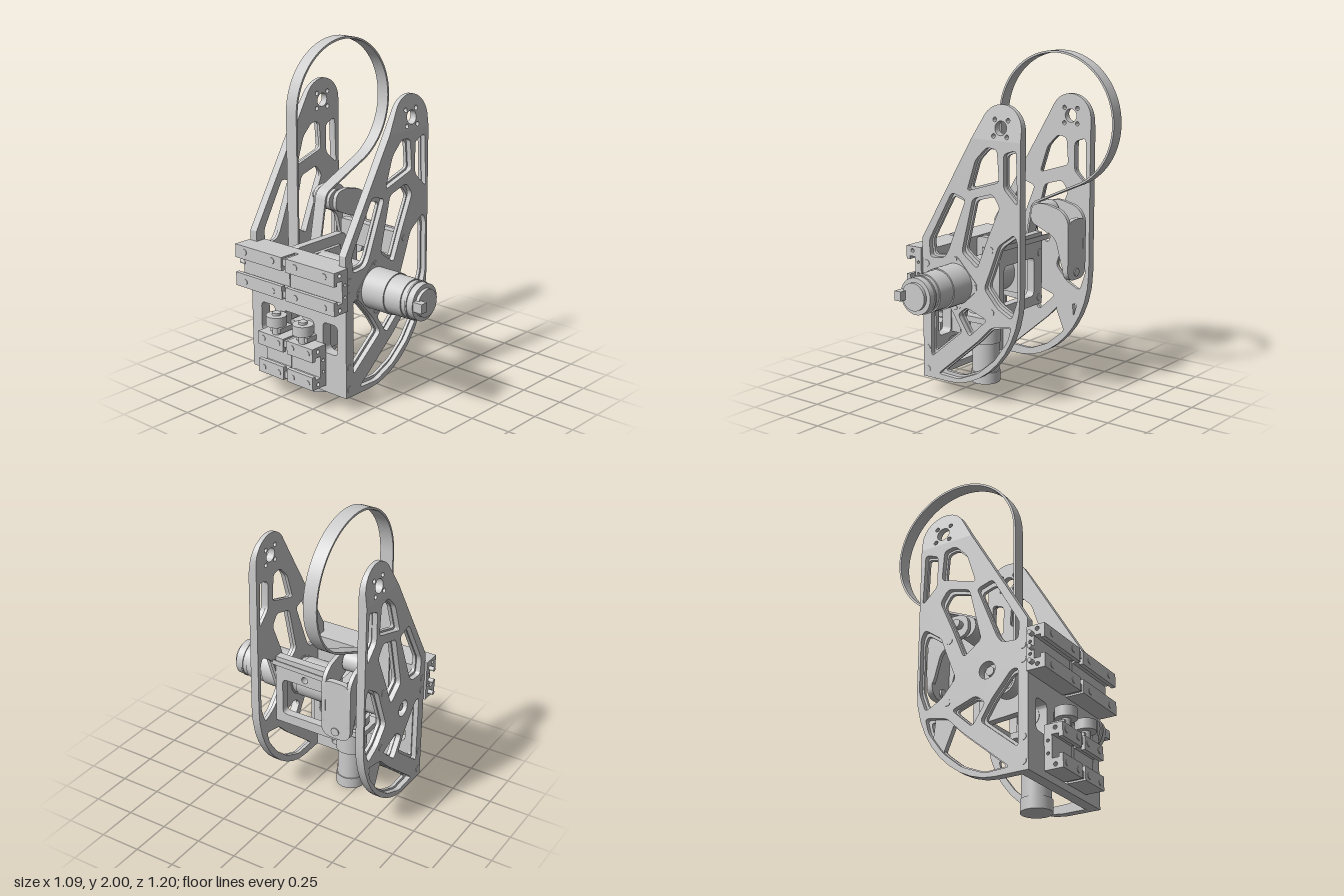
import * as THREE from 'three';
import { toCreasedNormals } from 'three/addons/utils/BufferGeometryUtils.js';

const grey = new THREE.MeshStandardMaterial({ color: 0xcccccc });

function add(parent, name, geo, x = 0, y = 0, z = 0) {
  const m = new THREE.Mesh(geo, grey);
  m.name = name;
  m.position.set(x, y, z);
  parent.add(m);
  return m;
}

// Box given by its min/max ranges
function box(parent, name, [x0, x1], [y0, y1], [z0, z1]) {
  return add(parent, name, new THREE.BoxGeometry(x1 - x0, y1 - y0, z1 - z0),
    (x0 + x1) / 2, (y0 + y1) / 2, (z0 + z1) / 2);
}

// Cylinder along an axis, from a to b; (u, v) are the other two coordinates in xyz order
function rod(parent, name, axis, r, u, v, a, b, seg = 32) {
  const g = new THREE.CylinderGeometry(r, r, b - a, seg), c = (a + b) / 2;
  if (axis === 'z') return add(parent, name, g.rotateX(Math.PI / 2), u, v, c);
  if (axis === 'x') return add(parent, name, g.rotateZ(Math.PI / 2), c, u, v);
  return add(parent, name, g, u, c, v);
}

// Closed path through polygon points with rounded corners, scaled about its centre
function rounded(pts, k = 1, r = 0.025, path = new THREE.Path()) {
  const c = pts.reduce((s, p) => [s[0] + p[0] / pts.length, s[1] + p[1] / pts.length], [0, 0]);
  const P = pts.map(p => new THREE.Vector2(c[0] + (p[0] - c[0]) * k, c[1] + (p[1] - c[1]) * k));
  P.forEach((p, i) => {
    const toward = q => p.clone().add(q.clone().sub(p).setLength(Math.min(r, q.distanceTo(p) * 0.45)));
    const a = toward(P[(i + P.length - 1) % P.length]), b = toward(P[(i + 1) % P.length]);
    i ? path.lineTo(a.x, a.y) : path.moveTo(a.x, a.y);
    path.quadraticCurveTo(p.x, p.y, b.x, b.y);
  });
  path.closePath();
  return path;
}

const circle = (x, y, r) => new THREE.Path().absarc(x, y, r, 0, Math.PI * 2, true);

function extrude(shape, depth) {
  return toCreasedNormals(new THREE.ExtrudeGeometry(shape,
    { depth, bevelEnabled: false, curveSegments: 10 }), 0.5);
}

// Openings of the truss side plates
const openings = [
  [[-0.37, 0.92], [-0.2, 1.22], [-0.1, 1.19], [-0.23, 0.87], [-0.26, 0.83], [-0.36, 0.82]],
  [[-0.03, 1.42], [0.05, 1.5], [0.12, 1.49], [0.135, 1.31], [-0.09, 1.24]],
  [[0.165, 1.47], [0.25, 1.5], [0.26, 1.19], [0.165, 1.28]],
  [[-0.05, 1.2], [0.09, 1.24], [0.14, 1.17], [0.05, 0.97], [-0.02, 0.8], [-0.13, 0.88]],
  [[0.13, 0.95], [0.24, 1.03], [0.264, 0.98], [0.264, 0.66], [0.22, 0.54], [0.12, 0.59], [0.03, 0.69], [0.1, 0.87]],
  [[-0.36, 0.66], [-0.32, 0.66], [-0.2, 0.52], [-0.13, 0.41], [-0.36, 0.22]],
  [[-0.16, 0.51], [-0.1, 0.56], [0.05, 0.51], [-0.08, 0.39]],
  [[-0.31, 0.125], [-0.02, 0.37], [0.08, 0.47], [0.22, 0.5], [0.195, 0.41], [0.1, 0.28], [-0.02, 0.18], [-0.16, 0.12]],
];

// Truss outline below the top lug
function plateShape(k, bore) {
  const s = new THREE.Shape();
  s.moveTo(-0.42, 0.09);
  s.lineTo(-0.22, 0.09);
  s.bezierCurveTo(0.02, 0.09, 0.28, 0.35, 0.28, 0.68);
  s.lineTo(0.28, 1.54);
  s.lineTo(-0.057, 1.54);
  s.lineTo(-0.42, 0.93);
  s.closePath();
  for (const o of openings) s.holes.push(rounded(o, k));
  s.holes.push(circle(-0.17, 0.69, bore));
  return s;
}

// Rounded lug with the pivot bore and four screw holes
function lugShape() {
  const s = new THREE.Shape();
  s.moveTo(-0.057, 1.54);
  s.lineTo(0.28, 1.54);
  s.lineTo(0.28, 1.6);
  s.absarc(0.14, 1.6, 0.14, 0, 2.6, false);
  s.closePath();
  s.holes.push(circle(0.14, 1.61, 0.04));
  for (const i of [1, -1]) for (const j of [1, -1])
    s.holes.push(circle(0.14 + i * 0.045, 1.61 + j * 0.045, 0.013));
  return s;
}

// Side plate: inner web, outer ribs and a lug whose outer face slopes inward
function sidePlate(parent, name, zInner, dir, bore) {
  const g = new THREE.Group();
  g.name = name;
  parent.add(g);
  add(g, 'plateWeb', extrude(plateShape(0.9, bore), 0.02), 0, 0, dir > 0 ? zInner : zInner - 0.02);
  add(g, 'plateRibs', extrude(plateShape(1, bore), 0.03), 0, 0, dir > 0 ? zInner + 0.02 : zInner - 0.05);
  const lug = extrude(lugShape(), 0.05), p = lug.attributes.position;
  for (let i = 0; i < p.count; i++)
    if ((p.getZ(i) > 0.025) === (dir > 0)) p.setZ(i, p.getZ(i) - dir * 0.025 * (p.getY(i) - 1.54) / 0.2);
  add(g, 'plateLug', toCreasedNormals(lug, 0.5), 0, 0, dir > 0 ? zInner : zInner - 0.05);
  const face = zInner + dir * 0.05;
  for (const [x, y] of [[-0.39, 0.78], [-0.39, 0.7], [-0.39, 0.27], [-0.39, 0.14], [0.075, 0.92], [0.08, 0.56]])
    rod(g, 'bolt', 'z', 0.02, x, y, face - 0.003, face + 0.003, 16);
  return g;
}

// Slide carriage with a C-shaped section, running along z
function carriage(parent, name, y, z0, z1) {
  const half = [[-0.42, 0.125], [-0.53, 0.125], [-0.53, 0.045], [-0.505, 0.045], [-0.505, 0.065], [-0.465, 0.065]];
  const pts = [...half, ...half.map(([a, b]) => [a, -b]).reverse()];
  const shape = new THREE.Shape(pts.map(p => new THREE.Vector2(...p)));
  for (const s of [1, -1]) shape.holes.push(circle(-0.485, s * 0.1, 0.012), circle(-0.442, s * 0.035, 0.009));
  const mid = (z0 + z1) / 2, len = (z1 - z0) / 2 - 0.015;
  for (const z of [z0, mid + 0.015]) {
    add(parent, name, extrude(shape, len), 0, y, z);
    for (const s of [1, -1]) for (const f of [0.2, 0.8])
      rod(parent, 'carriageScrew', 'x', 0.018, y + s * 0.09, z + len * f, -0.533, -0.525, 16);
  }
  box(parent, 'carriageJoint', [-0.46, -0.425], [y - 0.1, y + 0.1], [mid - 0.02, mid + 0.02]);
  for (const s of [1, -1])
    box(parent, 'jointBar', [-0.52, -0.425], [y + s * 0.095 - 0.02, y + s * 0.095 + 0.02], [mid - 0.02, mid + 0.02]);
}

// Belt loop: large wheel arc, over the idler, round the drive pulley
function beltGeometry(width, thick) {
  const outer = [], inner = [];
  const arc = (cx, cy, r, a0, a1, n, side) => {
    for (let i = 0; i <= n; i++) {
      const a = THREE.MathUtils.degToRad(a0 + (a1 - a0) * i / n), h = side * thick / 2;
      outer.push(new THREE.Vector2(cx + (r + h) * Math.cos(a), cy + (r + h) * Math.sin(a)));
      inner.push(new THREE.Vector2(cx + (r - h) * Math.cos(a), cy + (r - h) * Math.sin(a)));
    }
  };
  arc(0.145, 1.6, 0.394, 180, -70, 64, 1);
  arc(0.05, 1.05, 0.07, 110, 169.6, 10, -1);
  arc(-0.17, 0.69, 0.08, -10.4, -180, 24, 1);
  const s = new THREE.Shape(outer.reverse());
  s.holes.push(new THREE.Path(inner));
  return extrude(s, width);
}

export function createModel() {
  const root = new THREE.Group();
  sidePlate(root, 'frontSidePlate', 0.135, 1, 0.115);
  const rear = sidePlate(root, 'rearSidePlate', -0.507, -1, 0.05);
  const gusset = new THREE.Shape();
  rounded([[0.03, 0.47], [0.12, 0.26], [0.18, 0.35], [0.16, 0.52]], 1, 0.02, gusset);
  add(rear, 'gusset', extrude(gusset, 0.03), 0, 0, -0.538);

  // Back wall with windows, drawn in (z, y) and turned to face x
  const wall = new THREE.Shape();
  rounded([[-0.507, 0.09], [0.135, 0.09], [0.135, 0.87], [-0.507, 0.87]], 1, 0.001, wall);
  for (const [a, b, c, d] of [[0.01, 0.12, 0.33, 0.51], [-0.48, -0.37, 0.33, 0.51], [-0.4, 0.03, 0.13, 0.3], [-0.3, -0.06, 0.38, 0.5]])
    wall.holes.push(rounded([[a, c], [b, c], [b, d], [a, d]], 1, 0.03));
  add(root, 'backWall', extrude(wall, 0.065).rotateY(-Math.PI / 2), -0.355);

  // Cross plate with a window in front of the motor
  const cross = new THREE.Shape();
  rounded([[-0.28, 0.52], [0.135, 0.52], [0.135, 0.95], [-0.28, 0.95]], 1, 0.001, cross);
  cross.holes.push(rounded([[-0.2, 0.58], [0.09, 0.58], [0.09, 0.81], [-0.2, 0.81]], 1, 0.03));
  cross.holes.push(circle(-0.06, 0.85, 0.02));
  add(root, 'crossPlate', extrude(cross, 0.05).rotateY(-Math.PI / 2), 0.1);
  for (const y of [0.56, 0.83]) rod(root, 'crossBolt', 'x', 0.022, y, -0.255, 0.09, 0.104, 16);
  box(root, 'thinStrap', [0.134, 0.142], [0.915, 0.945], [-0.285, 0.135]).rotation.y = -0.035;

  // Main motor along z with its mounts
  const mount = new THREE.Shape();
  rounded([[-0.355, 0.55], [0.05, 0.52], [0.05, 0.87], [-0.355, 0.87]], 1, 0.03, mount);
  mount.holes.push(circle(-0.17, 0.69, 0.05));
  add(root, 'motorMount', extrude(mount, 0.05), 0, 0, -0.295);
  const diamond = new THREE.Shape();
  rounded([[-0.345, 0.69], [-0.175, 0.52], [-0.005, 0.69], [-0.175, 0.865]], 1, 0.04, diamond);
  diamond.holes.push(circle(-0.175, 0.69, 0.11));
  add(root, 'motorCollar', extrude(diamond, 0.05), 0, 0, 0.138);
  for (const [x, y] of [[-0.315, 0.69], [-0.175, 0.55], [-0.035, 0.69], [-0.175, 0.835]])
    rod(root, 'collarScrew', 'z', 0.014, x, y, 0.18, 0.192, 16);
  box(root, 'motorFlange', [-0.3, -0.015], [0.57, 0.81], [-0.245, -0.222]);
  const profile = [[0, -0.222], [0.12, -0.222], [0.12, 0.1], [0.11, 0.1], [0.11, 0.13], [0.12, 0.13], [0.12, 0.345],
    [0.113, 0.345], [0.113, 0.46], [0.106, 0.46], [0.106, 0.49], [0.112, 0.49], [0.112, 0.5], [0.106, 0.5],
    [0.106, 0.54], [0.08, 0.54], [0.08, 0.56], [0, 0.56]];
  const motor = new THREE.LatheGeometry(profile.map(p => new THREE.Vector2(...p)), 48).rotateX(Math.PI / 2);
  add(root, 'mainMotor', toCreasedNormals(motor, 0.5), -0.175, 0.69, 0);
  box(root, 'motorPlug', [-0.275, -0.23], [0.665, 0.72], [0.52, 0.6]);

  // Drive shaft, pulley and bearing
  rod(root, 'driveShaft', 'z', 0.025, -0.175, 0.69, -0.54, -0.2);
  rod(root, 'drivePulley', 'z', 0.073, -0.17, 0.69, -0.415, -0.335);
  rod(root, 'shaftHub', 'z', 0.04, -0.175, 0.69, -0.475, -0.43);
  rod(root, 'shaftBearing', 'z', 0.085, -0.175, 0.69, -0.507, -0.472);
  add(root, 'belt', beltGeometry(0.08, 0.012), 0, 0, -0.415);

  // Belt tensioner: two cheeks, a rounded face plate and an idler
  const cheek = new THREE.Shape();
  rounded([[0.01, 1.0], [0.02, 1.1], [0.1, 1.12], [0.23, 1.09], [0.28, 1.03], [0.28, 0.74], [0.24, 0.74], [0.19, 0.92]], 1, 0.04, cheek);
  for (const z of [-0.31, -0.47]) add(root, 'tensionerCheek', extrude(cheek, 0.025), 0, 0, z);
  const face = new THREE.Shape();
  rounded([[-0.285, 1.03], [-0.47, 1.03], [-0.47, 0.67], [-0.285, 0.67]], 1, 0.07, face);
  add(root, 'tensionerFace', extrude(face, 0.035).rotateY(-Math.PI / 2), 0.279);
  rod(root, 'tensionerPivot', 'x', 0.025, 0.715, -0.375, 0.23, 0.285, 20);
  rod(root, 'idler', 'z', 0.063, 0.05, 1.05, -0.435, -0.315);
  rod(root, 'idlerAxle', 'z', 0.025, 0.07, 1.05, -0.507, -0.285);

  // Vertical motor with its drive wheel
  rod(root, 'lowerMotorCap', 'y', 0.088, -0.24, -0.18, 0, 0.07);
  rod(root, 'lowerMotorCan', 'y', 0.082, -0.24, -0.18, 0.07, 0.25);
  rod(root, 'lowerMotorGearbox', 'y', 0.092, -0.24, -0.18, 0.25, 0.42);
  rod(root, 'lowerMotorWheel', 'y', 0.105, -0.24, -0.18, 0.44, 0.49);
  rod(root, 'lowerMotorShaft', 'y', 0.03, -0.24, -0.18, 0.42, 0.52);
  box(root, 'lowerMotorMount', [-0.36, -0.15], [0.39, 0.425], [-0.3, -0.06]);

  // Slide carriages, guide wheels and wheel brackets
  carriage(root, 'upperCarriage', 0.745, -0.57, 0.2);
  carriage(root, 'lowerCarriage', 0.255, -0.4, 0.03);
  for (const y of [0.66, 0.74, 0.82]) rod(root, 'carriageEndScrew', 'z', 0.013, -0.455, y, -0.603, -0.56, 12);
  for (const s of [1, -1]) {
    const zw = -0.185 + s * 0.105, zb = -0.185 + s * 0.16;
    rod(root, 'guideWheel', 'y', 0.06, -0.488, zw, 0.435, 0.495);
    rod(root, 'guideWheelAxle', 'y', 0.025, -0.488, zw, 0.37, 0.51, 16);
    box(root, 'wheelBracket', [-0.5, -0.4], [0.39, 0.42], [zw - 0.04, zw + 0.04]);
    box(root, 'innerBracket', [-0.36, -0.29], [0.33, 0.42], [zb - 0.025, zb + 0.025]);
    rod(root, 'innerRoller', 'z', 0.05, -0.325, 0.455, zb - 0.028, zb + 0.028, 24);
  }
  return root;
}
